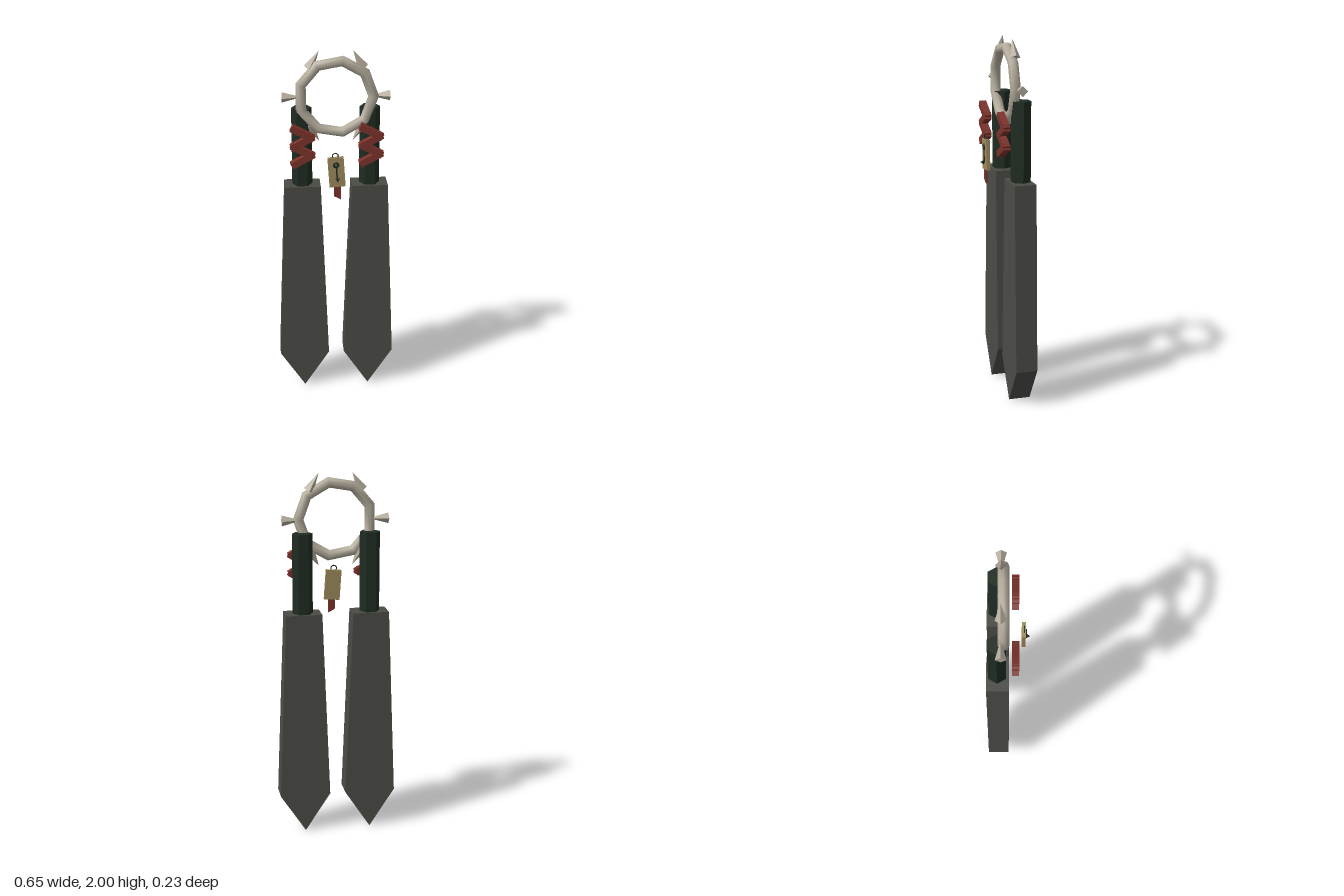
import * as THREE from 'three';

const mat = (name, color, flatShading = true) => {
  const m = new THREE.MeshStandardMaterial({ color, flatShading });
  m.name = name;
  return m;
};

export function createModel() {
  const steel = mat('dark steel', 0x4b4b46);
  const grip = mat('dark green', 0x1f2c22);
  const bone = mat('bone', 0xb5ad9d, false);
  const red = mat('red cloth', 0x7c322b);
  const brass = mat('tan tag', 0x9e8b5c);

  const model = new THREE.Group();
  const add = (name, geo, material, x, y, z, rz = 0, parent = model) => {
    const m = new THREE.Mesh(geo, material);
    m.name = name;
    m.position.set(x, y, z);
    m.rotation.z = rz;
    parent.add(m);
    return m;
  };

  // Shared blade outline: narrow shoulder, widening down to a pointed tip
  const outline = new THREE.Shape([
    [0, 0], [0.14, 0.215], [0.098, 1.255], [-0.098, 1.255], [-0.14, 0.215],
  ].map(([x, y]) => new THREE.Vector2(x, y)));
  const bladeGeo = new THREE.ExtrudeGeometry(outline, { depth: 0.12, bevelEnabled: false });

  // Hexagonal grip, corners facing sideways
  const gripGeo = new THREE.CylinderGeometry(0.055, 0.055, 0.46, 6).rotateY(Math.PI / 2);
  const wrapGeo = new THREE.BoxGeometry(0.134, 0.037, 0.038);

  for (const [side, x] of [['left', 0.183], ['right', -0.183]]) {
    add(side + 'Blade', bladeGeo, steel, x, 0, -0.116);
    add(side + 'Grip', gripGeo, grip, x, 1.46, -0.058);
    // Zigzag wrap floating in front of the grip
    const wrap = new THREE.Group();
    wrap.name = side + 'Wrap';
    for (let i = 0; i < 4; i++) {
      add('wrapBar', wrapGeo, red, x, 1.58 - i * 0.05, 0.038, i % 2 ? 0.49 : -0.49, wrap);
    }
    model.add(wrap);
  }

  // Nine-sided bone ring
  add('ring', new THREE.TorusGeometry(0.199, 0.029, 8, 9), bone, 0, 1.756, -0.023);

  // Six four-sided spikes around the ring
  const spikeGeo = new THREE.ConeGeometry(0.029, 0.107, 4).toNonIndexed();
  spikeGeo.computeVertexNormals();
  for (let i = 0; i < 6; i++) {
    const a = (i * Math.PI) / 3;
    add('spike', spikeGeo, bone, 0.234 * Math.cos(a), 1.756 + 0.234 * Math.sin(a), -0.036,
      Math.PI / 2 - a);
  }

  // Hanging tag, tilted slightly
  const tag = new THREE.Group();
  tag.name = 'tag';
  tag.position.set(-0.005, 1.372, 0.081);
  tag.rotation.z = 0.07;
  model.add(tag);
  add('tagPlate', new THREE.BoxGeometry(0.086, 0.166, 0.02), brass, 0, 0, 0, 0, tag);
  add('tagLoop', new THREE.TorusGeometry(0.016, 0.003, 6, 12), grip, 0, 0.092, 0.004, 0, tag);
  add('tagCircle', new THREE.TorusGeometry(0.012, 0.006, 6, 12), grip, 0, 0.043, 0.012, 0, tag);
  add('tagStem', new THREE.BoxGeometry(0.008, 0.08, 0.006), grip, 0.001, 0, 0.012, 0, tag);

  // Three-sided arrowhead pointing forward
  const arrowGeo = new THREE.ConeGeometry(0.016, 0.02, 3).rotateX(Math.PI / 2);
  add('tagArrow', arrowGeo, grip, 0.001, 1.332, 0.105);

  // Cloth tail with a slanted end
  const tail = new THREE.Shape([
    [-0.019, 1.235], [0.019, 1.214], [0.018, 1.31], [-0.019, 1.31],
  ].map(([x, y]) => new THREE.Vector2(x, y)));
  add('tagTail', new THREE.ExtrudeGeometry(tail, { depth: 0.008, bevelEnabled: false }),
    red, 0, 0, 0.082);

  return model;
}
